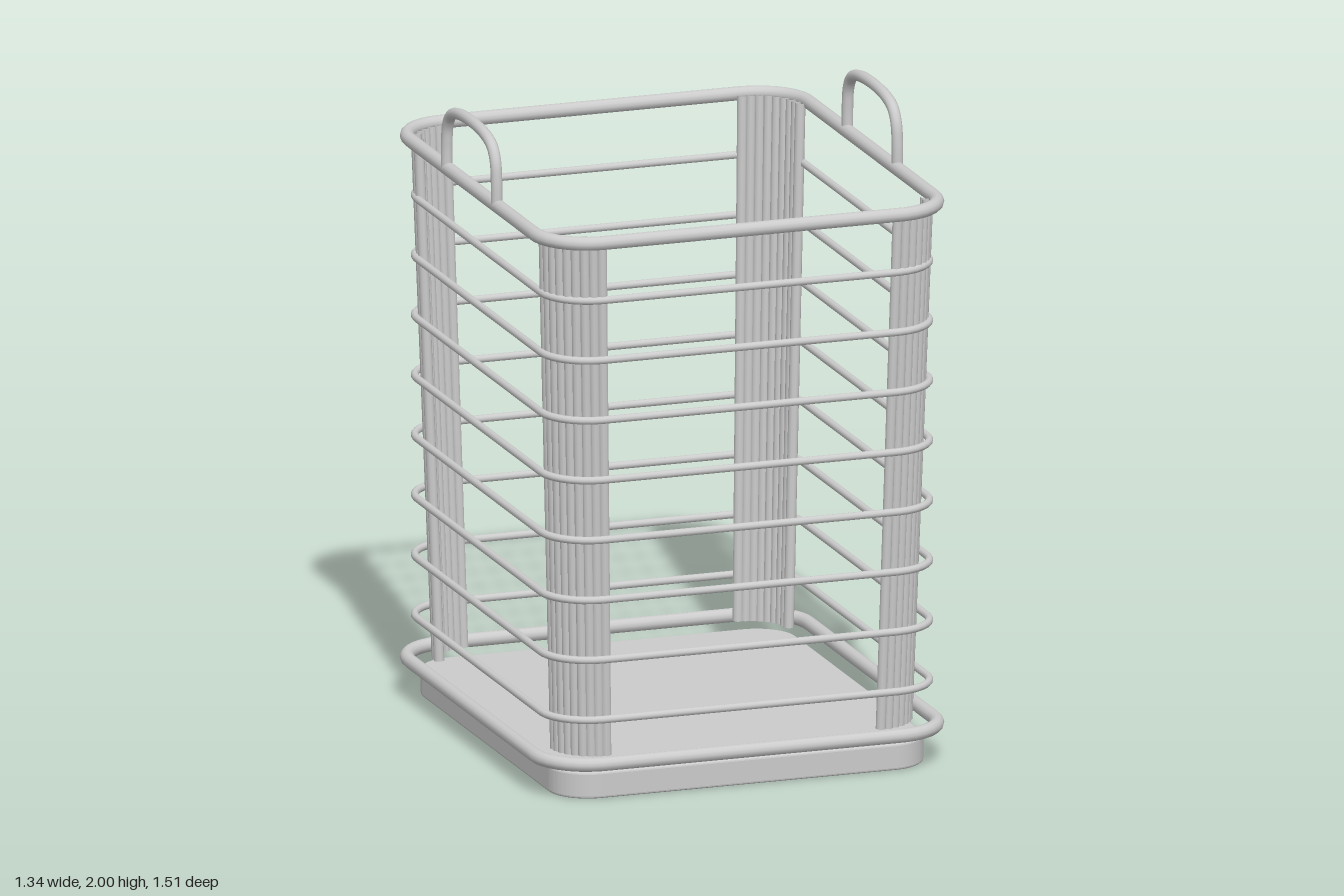
import * as THREE from 'three';

const material = new THREE.MeshStandardMaterial({ color: 0xcccccc });

// Rounded rectangle with half sizes w, d and corner radius r
function roundedRect(w, d, r) {
  const s = new THREE.Shape();
  s.moveTo(0, -d);
  s.lineTo(w - r, -d);
  s.absarc(w - r, -d + r, r, -Math.PI / 2, 0);
  s.lineTo(w, d - r);
  s.absarc(w - r, d - r, r, 0, Math.PI / 2);
  s.lineTo(-w + r, d);
  s.absarc(-w + r, d - r, r, Math.PI / 2, Math.PI);
  s.lineTo(-w, -d + r);
  s.absarc(-w + r, -d + r, r, Math.PI, Math.PI * 1.5);
  s.lineTo(0, -d);
  return s;
}

// Lays a flat outline in the horizontal plane
class FlatLoop extends THREE.Curve {
  constructor(shape) {
    super();
    this.shape = shape;
  }
  getPoint(t, target = new THREE.Vector3()) {
    const p = this.shape.getPointAt(t);
    return target.set(p.x, 0, p.y);
  }
}

export function createModel() {
  const basket = new THREE.Group();
  basket.name = 'basket';

  const add = (name, geometry, parent = basket) => {
    const mesh = new THREE.Mesh(geometry, material);
    mesh.name = name;
    parent.add(mesh);
    return mesh;
  };
  const ringGeometry = (w, d, corner, tube) =>
    new THREE.TubeGeometry(new FlatLoop(roundedRect(w, d, corner)), 160, tube, 12, true);

  // Base slab with softened edges
  const bevel = 0.008;
  const slab = new THREE.ExtrudeGeometry(roundedRect(0.605 - bevel, 0.697 - bevel, 0.12), {
    depth: 0.085 - 2 * bevel, bevelEnabled: true, bevelSize: bevel,
    bevelThickness: bevel, bevelSegments: 3, curveSegments: 10,
  });
  slab.rotateX(-Math.PI / 2);
  add('base', slab).position.y = bevel;

  // Thick rims at top and bottom
  const rim = ringGeometry(0.647, 0.735, 0.165, 0.022);
  add('bottomRim', rim).position.y = 0.12;
  add('topRim', rim).position.y = 1.773;

  // Thin hoops between the rims
  const hoops = new THREE.Group();
  hoops.name = 'hoops';
  basket.add(hoops);
  const hoop = ringGeometry(0.625, 0.714, 0.15, 0.012);
  for (let i = 0; i < 8; i++) add('hoop', hoop, hoops).position.y = 0.255 + i * 0.19;

  // Fans of upright rods around each corner, tapering inward to the bottom
  const rodsPerCorner = 9;
  for (const sx of [-1, 1]) {
    for (const sz of [-1, 1]) {
      const corner = new THREE.Group();
      corner.name = (sz > 0 ? 'front' : 'back') + (sx > 0 ? 'Left' : 'Right') + 'CornerRods';
      basket.add(corner);
      for (let i = 0; i < rodsPerCorner; i++) {
        const a = (i / (rodsPerCorner - 1)) * Math.PI / 2;
        const at = (cx, cz, r, y) =>
          new THREE.Vector3(sx * (cx + r * Math.cos(a)), y, sz * (cz + r * Math.sin(a)));
        const low = at(0.445, 0.53, 0.122, 0.125);
        const high = at(0.48, 0.57, 0.139, 1.773);
        add('rod', new THREE.TubeGeometry(new THREE.LineCurve3(low, high), 1, 0.016, 10), corner);
      }
    }
  }

  // Arched handles on both sides
  const half = [[0.228, 1.773], [0.227, 1.85], [0.218, 1.91], [0.19, 1.95], [0.13, 1.972]];
  const arch = [...half, [0, 1.982], ...half.slice().reverse().map(([z, y]) => [-z, y])];
  const handle = new THREE.TubeGeometry(
    new THREE.CatmullRomCurve3(arch.map(([z, y]) => new THREE.Vector3(0, y, z))), 48, 0.018, 12);
  add('leftHandle', handle).position.x = 0.65;
  add('rightHandle', handle).position.x = -0.65;

  return basket;
}
